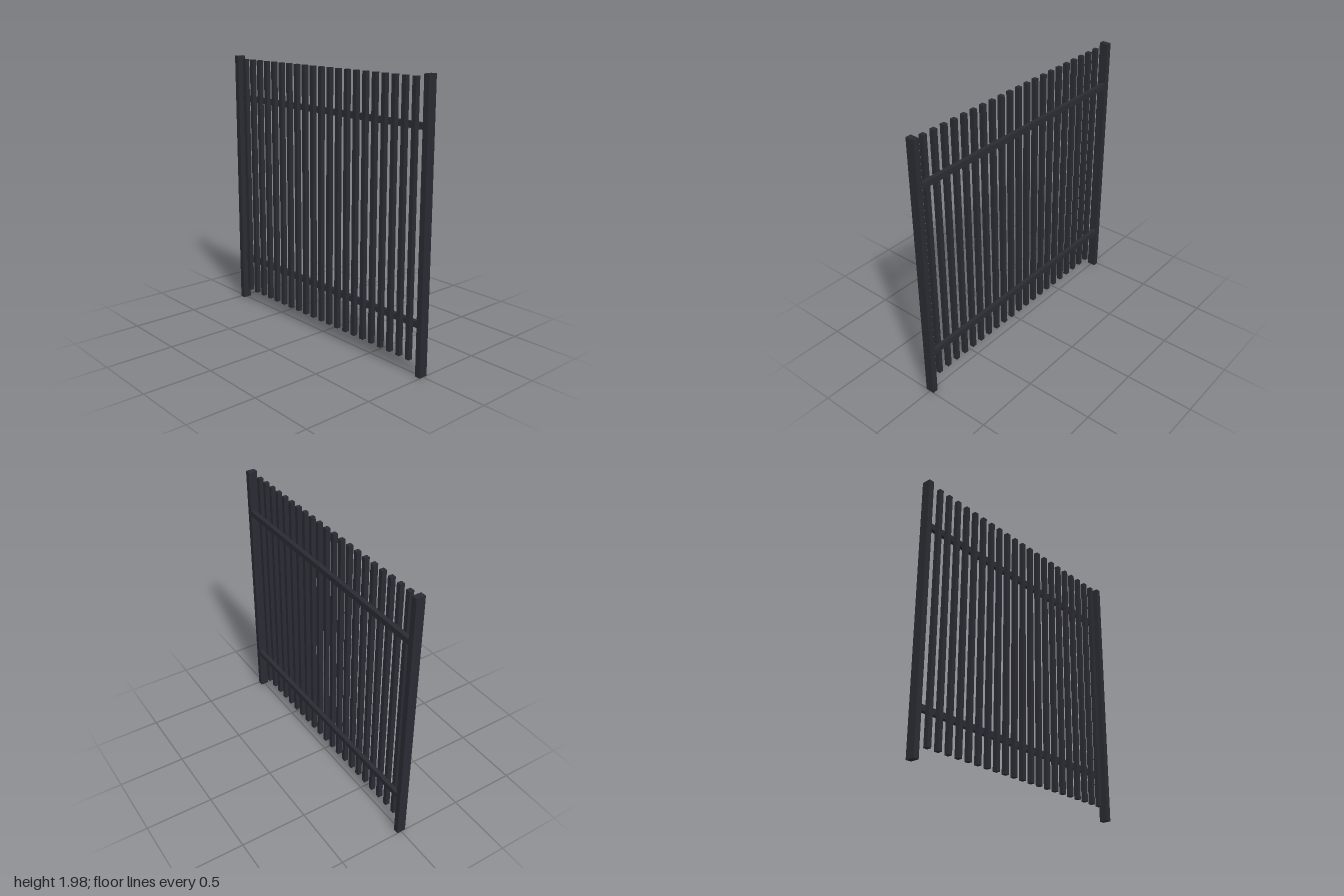
import * as THREE from 'three';

export function createModel() {
  const fence = new THREE.Group();
  fence.name = 'fencePanel';
  const darkMetal = new THREE.MeshStandardMaterial({ color: 0x2a2b33 });
  darkMetal.name = 'dark metal';

  const addBar = (name, w, h, d, x, y, z) => {
    const bar = new THREE.Mesh(new THREE.BoxGeometry(w, h, d), darkMetal);
    bar.name = name;
    bar.position.set(x, y, z);
    fence.add(bar);
  };

  // Full-depth end posts standing on the ground
  const postWidth = 0.042, postHeight = 1.98, depth = 0.066;
  for (const side of [-1, 1]) {
    addBar(side > 0 ? 'leftPost' : 'rightPost', postWidth, postHeight, depth,
      side * (1 - postWidth / 2), postHeight / 2, 0);
  }

  // Two rails behind the pickets, spanning between the posts
  const railDepth = 0.032;
  for (const [name, y] of [['lowerRail', 0.345], ['upperRail', 1.653]]) {
    addBar(name, 2 - 2 * postWidth, 0.042, railDepth, 0, y, -depth / 2 + railDepth / 2);
  }

  // Evenly spaced square pickets on the front of the rails
  const count = 21, spacing = 0.088, bottom = 0.092, top = 1.96;
  const picketDepth = depth - railDepth;
  for (let i = 0; i < count; i++) {
    addBar('picket' + (i + 1), 0.033, top - bottom, picketDepth,
      (i - (count - 1) / 2) * spacing, (top + bottom) / 2, depth / 2 - picketDepth / 2);
  }
  return fence;
}
